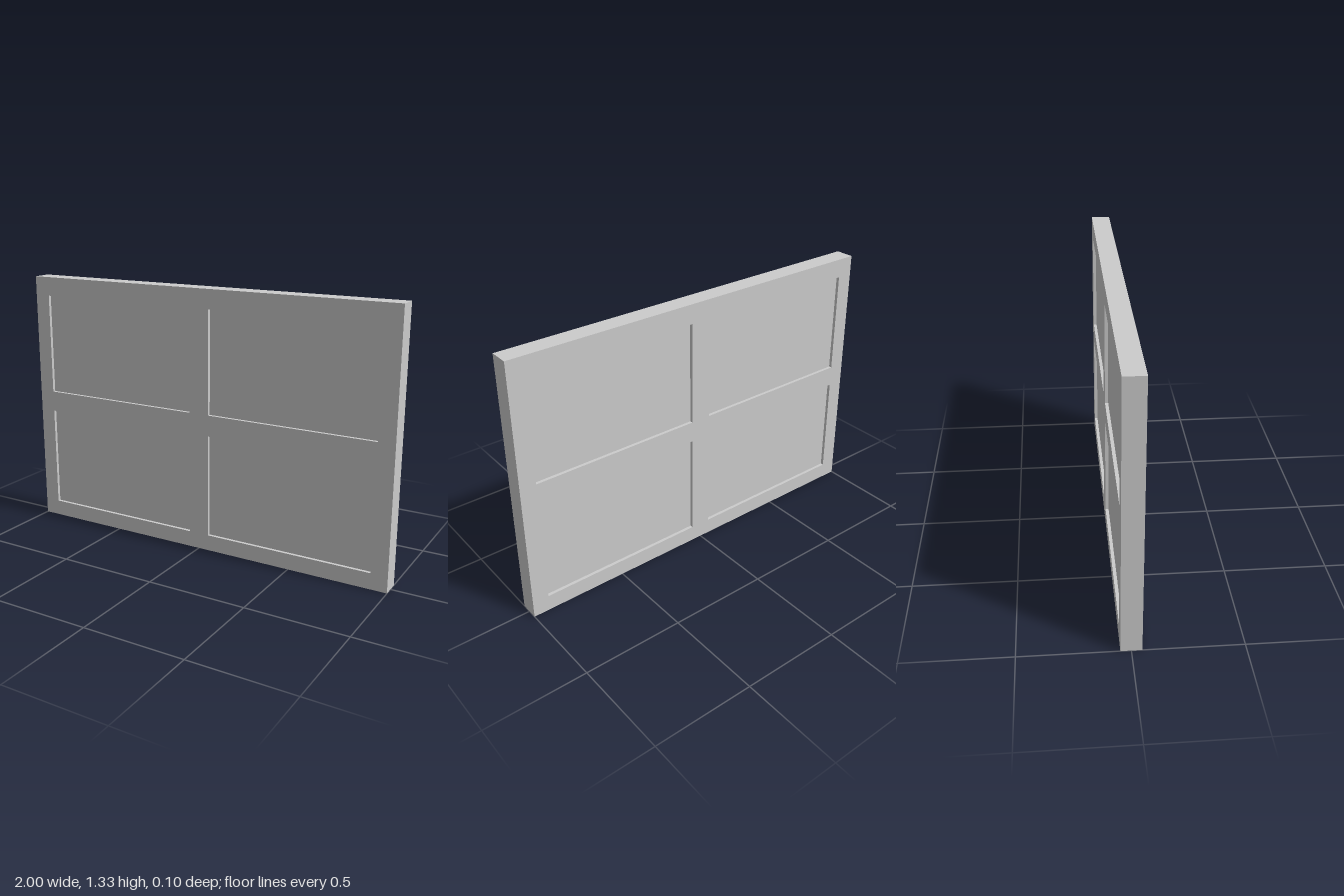
import * as THREE from 'three';

const WIDTH = 2, HEIGHT = 1.327, DEPTH = 0.096, RECESS = 0.016;
const COLUMNS = [[-0.918, -0.053], [0.053, 0.918]];
const ROWS = [[0.081, 0.604], [0.711, 1.23]];

// Traces a closed rectangle on a Shape or Path
function rectangle(path, x0, y0, x1, y1) {
  path.moveTo(x0, y0).lineTo(x1, y0).lineTo(x1, y1).lineTo(x0, y1).closePath();
  return path;
}

export function createModel() {
  const group = new THREE.Group();
  group.name = 'panelledBoard';
  const material = new THREE.MeshStandardMaterial({ color: 0xcccccc });

  // Outer frame with its cross bars, pierced by four openings
  const outline = rectangle(new THREE.Shape(), -WIDTH / 2, 0, WIDTH / 2, HEIGHT);

  // Sunken panels, set back equally from front and back
  COLUMNS.forEach(([x0, x1], column) => {
    ROWS.forEach(([y0, y1], row) => {
      outline.holes.push(rectangle(new THREE.Path(), x0, y0, x1, y1));
      const panel = new THREE.Mesh(
        new THREE.BoxGeometry(x1 - x0, y1 - y0, DEPTH - 2 * RECESS), material);
      panel.position.set((x0 + x1) / 2, (y0 + y1) / 2, 0);
      panel.name = (row ? 'upper' : 'lower') + (column ? 'Left' : 'Right') + 'Panel';
      group.add(panel);
    });
  });

  const frameGeometry = new THREE.ExtrudeGeometry(outline, { depth: DEPTH, bevelEnabled: false });
  frameGeometry.translate(0, 0, -DEPTH / 2);
  const frame = new THREE.Mesh(frameGeometry, material);
  frame.name = 'frame';
  group.add(frame);
  return group;
}
